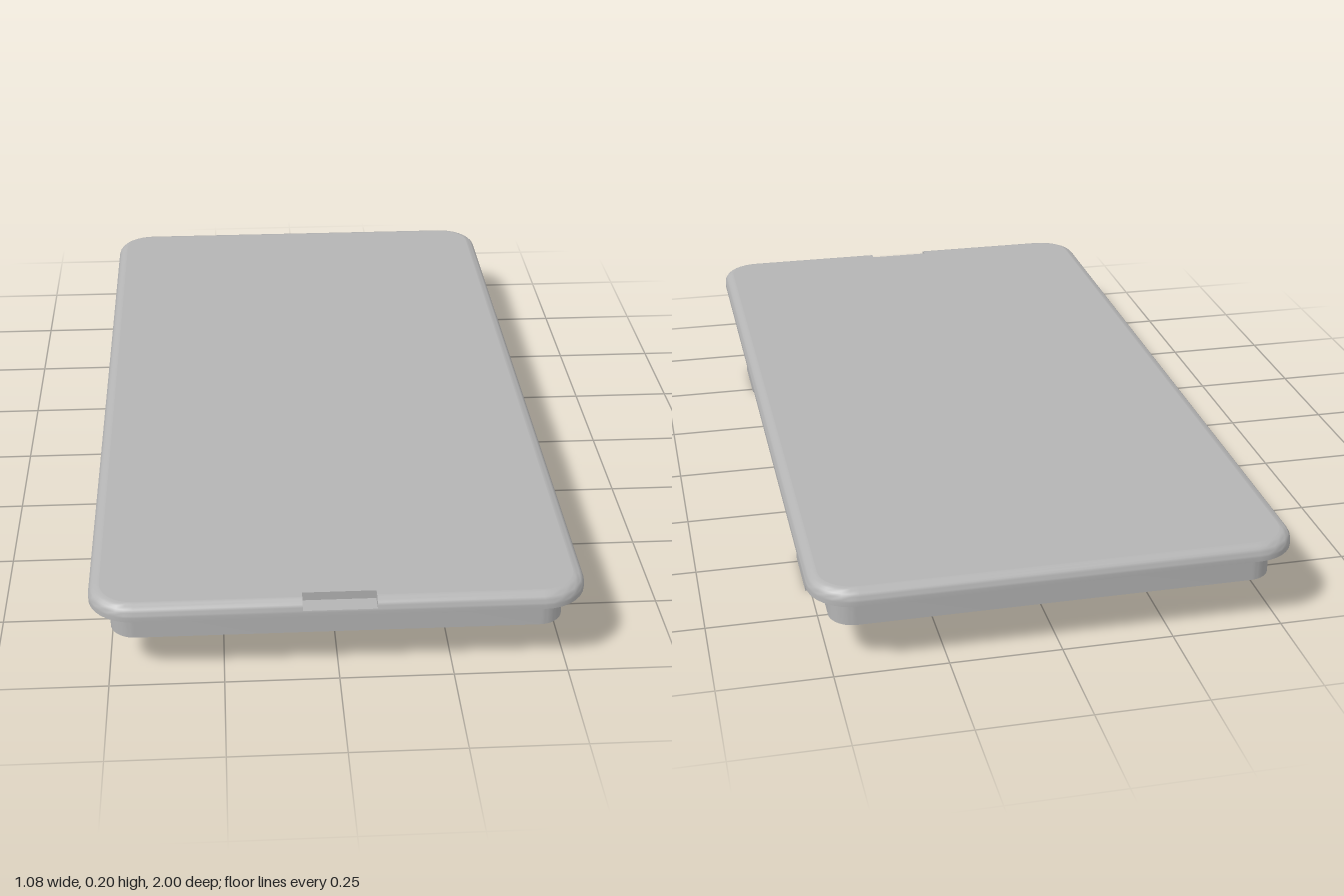
import * as THREE from 'three';
import { mergeGeometries, toCreasedNormals } from 'three/addons/utils/BufferGeometryUtils.js';

const PLATE_Y = 0.165, TOP = 0.2, FILLET = 0.025;
const NOTCH = { half: 0.08, z: 0.96, floor: 0.18 };

// Rounded outline seen from above as (x, -z), with four extra points for the finger notch
function outline(inset, notched) {
  const r = 0.1 - inset, pts = [];
  [[1, -1, -90], [1, 1, 0], [-1, 1, 90], [-1, -1, 180]].forEach(([sx, sy, start]) => {
    for (let i = 0; i <= 8; i++) {
      const a = THREE.MathUtils.degToRad(start + i * 90 / 8);
      pts.push(new THREE.Vector2(sx * 0.44 + r * Math.cos(a), sy * 0.9 + r * Math.sin(a)));
    }
  });
  const edge = -1 + inset, inner = notched ? -NOTCH.z : edge;
  [[-1, edge], [-1, inner], [1, inner], [1, edge]].forEach(([s, v]) =>
    pts.push(new THREE.Vector2(s * NOTCH.half, v)));
  return pts;
}

function fromTriangles(corners) {
  const g = new THREE.BufferGeometry().setFromPoints(corners);
  g.computeVertexNormals();
  return g;
}

function plateGeometry() {
  const insetAt = y => {
    const h = Math.max(0, y - (TOP - FILLET));
    return FILLET - Math.sqrt(Math.max(0, FILLET * FILLET - h * h));
  };
  // Cross-sections from bottom to top; the doubled one makes the notch floor
  const levels = [[PLATE_Y, false], [TOP - FILLET, false], [NOTCH.floor, false], [NOTCH.floor, true]];
  for (let i = 1; i <= 5; i++) {
    const a = THREE.MathUtils.lerp(Math.asin(0.2), Math.PI / 2, i / 5);
    levels.push([TOP - FILLET + FILLET * Math.sin(a), true]);
  }
  const rings = levels.map(([y, notched]) => ({ y, pts: outline(insetAt(y), notched) }));
  const at = (ring, i) => {
    const p = ring.pts[i % ring.pts.length];
    return new THREE.Vector3(p.x, ring.y, -p.y);
  };
  const side = [];
  for (let k = 0; k < rings.length - 1; k++) {
    for (let i = 0; i < rings[k].pts.length; i++) {
      const a = at(rings[k], i), b = at(rings[k], i + 1);
      const c = at(rings[k + 1], i + 1), d = at(rings[k + 1], i);
      [[a, b, c], [a, c, d]].forEach(t => {
        if (new THREE.Triangle(...t).getArea() > 1e-9) side.push(...t);
      });
    }
  }
  const cap = (ring, flip) => fromTriangles(
    THREE.ShapeUtils.triangulateShape(ring.pts.slice(), [])
      .flatMap(([a, b, c]) => (flip ? [a, c, b] : [a, b, c]).map(i => at(ring, i))));
  return mergeGeometries([
    toCreasedNormals(fromTriangles(side), 0.6),
    cap(rings[0], true),
    cap(rings[rings.length - 1], false),
  ]);
}

// U-shaped end of the skirt, running around two corners
function skirtEndGeometry(bottom, height) {
  const X = 0.495, Z = 0.955, t = 0.025, r = 0.055, start = 0.66;
  const s = new THREE.Shape();
  s.moveTo(X, start);
  s.lineTo(X, Z - r);
  s.absarc(X - r, Z - r, r, 0, Math.PI / 2, false);
  s.lineTo(-X + r, Z);
  s.absarc(-X + r, Z - r, r, Math.PI / 2, Math.PI, false);
  s.lineTo(-X, start);
  s.lineTo(-X + t, start);
  s.lineTo(-X + t, Z - r);
  s.absarc(-X + r, Z - r, r - t, Math.PI, Math.PI / 2, true);
  s.lineTo(X - r, Z - t);
  s.absarc(X - r, Z - r, r - t, Math.PI / 2, 0, true);
  s.lineTo(X - t, start);
  s.closePath();
  const g = new THREE.ExtrudeGeometry(s, { depth: height, bevelEnabled: false, curveSegments: 8 });
  g.rotateX(-Math.PI / 2).translate(0, bottom, 0);
  return toCreasedNormals(g, 0.6);
}

// Hooked snap clip: upright tongue with an outward foot
function clipGeometry() {
  const s = new THREE.Shape([
    [0.472, 0], [0.512, 0], [0.512, 0.035], [0.495, 0.035], [0.495, PLATE_Y], [0.472, PLATE_Y],
  ].map(p => new THREE.Vector2(...p)));
  const width = 0.155;
  return new THREE.ExtrudeGeometry(s, { depth: width, bevelEnabled: false }).translate(0, 0, -width / 2);
}

export function createModel() {
  const model = new THREE.Group();
  model.name = 'snapOnCover';
  const grey = new THREE.MeshStandardMaterial({ color: 0xb4b4b4 });
  grey.name = 'greyPlastic';
  const add = (name, geometry) => {
    const mesh = new THREE.Mesh(geometry, grey);
    mesh.name = name;
    model.add(mesh);
    return mesh;
  };

  add('coverPlate', plateGeometry());

  // Skirt in four pieces, open around the clips
  const bottom = 0.093, height = PLATE_Y - bottom;
  const end = skirtEndGeometry(bottom, height);
  add('backSkirt', end);
  add('frontSkirt', end).rotation.y = Math.PI;
  const rail = new THREE.BoxGeometry(0.025, height, 0.92);
  const clip = clipGeometry();
  [['left', 1], ['right', -1]].forEach(([label, sx]) => {
    add(label + 'Skirt', rail).position.set(sx * 0.4825, bottom + height / 2, 0);
    [['Front', 1], ['Back', -1]].forEach(([place, sz]) => {
      const m = add(label + place + 'Clip', clip);
      m.position.z = sz * 0.56;
      if (sx < 0) m.rotation.y = Math.PI;
    });
  });
  return model;
}
